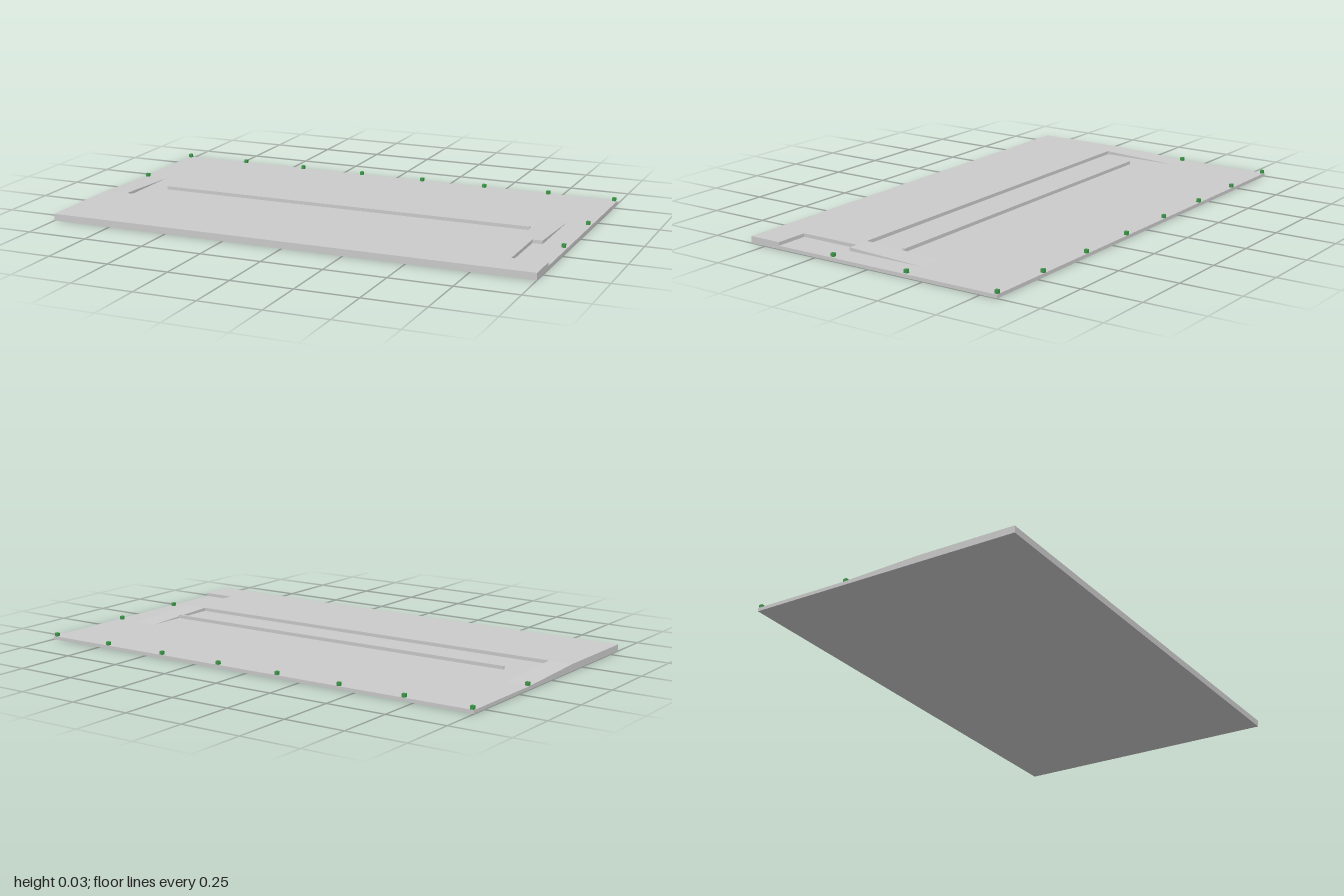
import * as THREE from 'three';

const BASE = 0.014, TOP = 0.028, W = 1, D = 0.57;

export function createModel() {
  const model = new THREE.Group();
  const grey = new THREE.MeshStandardMaterial({ color: 0xcccccc, flatShading: true });
  const green = new THREE.MeshStandardMaterial({ color: 0x3f9a4a, flatShading: true });

  const add = (name, geometry, material = grey) => {
    const mesh = new THREE.Mesh(geometry, material);
    mesh.name = name;
    model.add(mesh);
    return mesh;
  };
  const box = (name, w, h, d, x, y, z, material) =>
    add(name, new THREE.BoxGeometry(w, h, d), material).position.set(x, y + h / 2, z);
  const outline = (points) => new THREE.Shape(points.map(([a, b]) => new THREE.Vector2(a, b)));

  // Thin ground slab
  box('baseSlab', 2 * W, BASE, 2 * D, 0, 0, 0);

  // Raised front platform with a notch in its left edge (outline is x, -z)
  const platform = new THREE.ExtrudeGeometry(
    outline([[-W, -D], [W, -D], [W, -0.43], [0.86, -0.43], [0.86, -0.17], [-W, -0.17]]),
    { depth: TOP - BASE, bevelEnabled: false });
  platform.rotateX(-Math.PI / 2);
  platform.translate(0, BASE, 0);
  add('raisedPlatform', platform);

  // Wedge ramps leading up to the platform (outline is -z, y, extruded along x)
  for (const [name, x] of [['leftRamp', 0.8], ['rightRamp', -1]]) {
    const ramp = new THREE.ExtrudeGeometry(
      outline([[-0.17, BASE], [0.17, BASE], [-0.17, TOP]]),
      { depth: 0.1, bevelEnabled: false });
    ramp.rotateY(Math.PI / 2);
    ramp.translate(x, 0, 0);
    add(name, ramp);
  }

  // Long low divider wall
  box('dividerWall', 1.6, TOP - BASE, 0.01, 0, BASE, -0.003);

  // Small posts along the back and side edges
  const posts = [[-0.99, -0.165], [0.985, -0.165], [0.985, 0.177]];
  for (let i = 0; i < 8; i++) posts.push([-0.99 + (i * 1.977) / 7, -0.562]);
  posts[3][0] = -0.99;
  for (const [x, z] of posts) box('post', 0.014, TOP - BASE, 0.014, x, BASE, z, green);

  return model;
}
